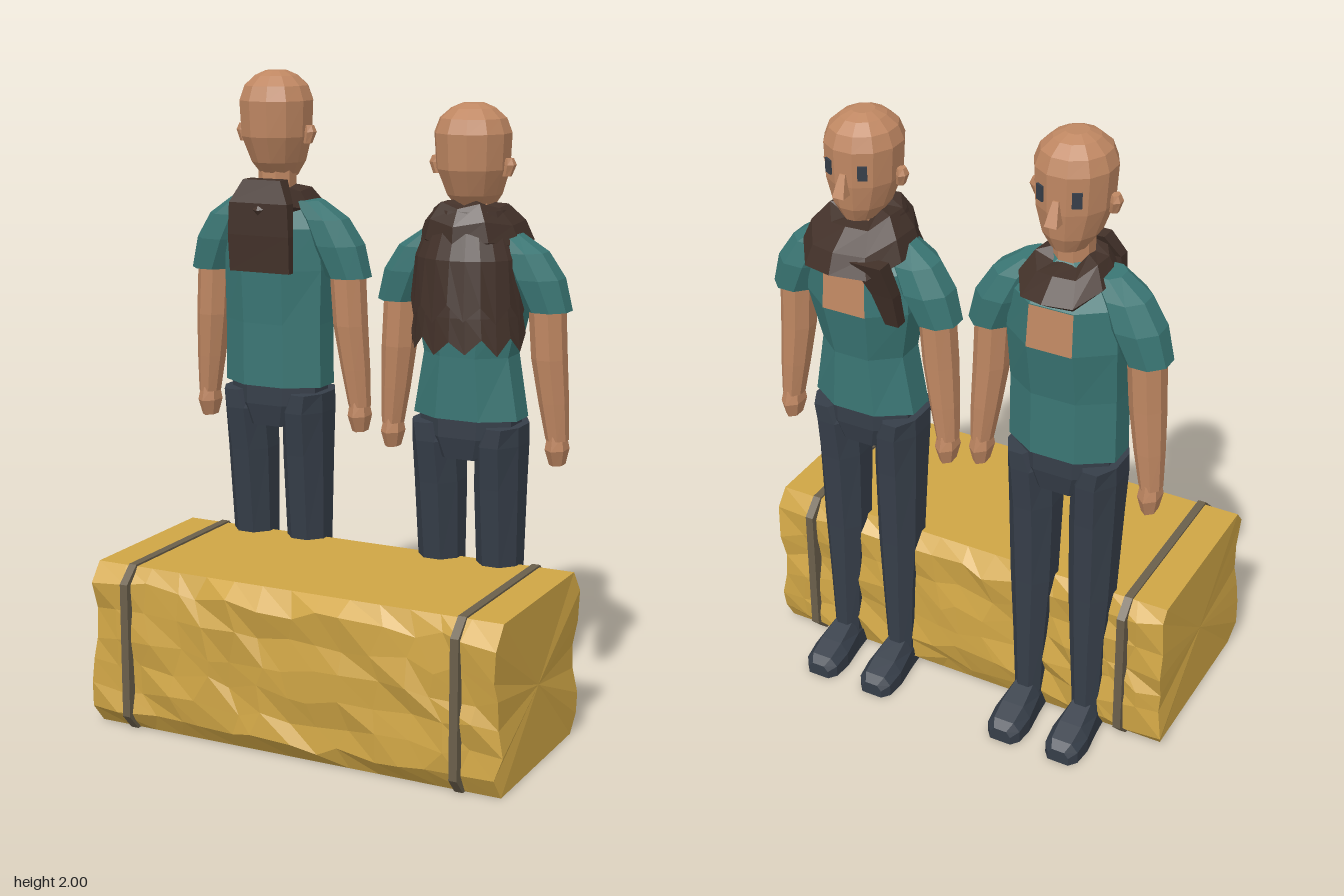
import * as THREE from 'three';

const mat = (name, color, side = THREE.FrontSide) => {
  const m = new THREE.MeshStandardMaterial({ color, side });
  m.name = name;
  return m;
};
const M = {
  skin: mat('skin', 0xbf8762),
  shirt: mat('tealShirt', 0x3a7674),
  dark: mat('darkCloth', 0x363e49),
  scarf: mat('brownScarf', 0x423129, THREE.DoubleSide),
  hay: mat('straw', 0xcfa545),
  strap: mat('baleStrap', 0x6a5f4b),
};

// Seeded jitter in -1..1
let seed = 7;
const jitter = () => {
  seed = (seed * 16807) % 2147483647;
  return (seed / 2147483647) * 2 - 1;
};

function part(name, geometry, material, parent) {
  const mesh = new THREE.Mesh(geometry, material);
  mesh.name = name;
  parent.add(mesh);
  return mesh;
}

// Faceted skin over rings of [x, y, z] points; open sheets are neither closed nor capped
function skin(rings, closed = true, caps = closed) {
  const n = rings[0].length, pos = rings.flat(2), idx = [];
  for (let r = 0; r < rings.length - 1; r++) {
    for (let i = 0; i < (closed ? n : n - 1); i++) {
      const a = r * n + i, b = r * n + (i + 1) % n;
      idx.push(a, a + n, b, b, a + n, b + n);
    }
  }
  if (caps) {
    for (const r of [0, rings.length - 1]) {
      const c = pos.length / 3;
      for (let k = 0; k < 3; k++) pos.push(rings[r].reduce((s, p) => s + p[k], 0) / n);
      for (let i = 0; i < n; i++) {
        const a = r * n + i, b = r * n + (i + 1) % n;
        if (r === 0) idx.push(c, a, b);
        else idx.push(c, b, a);
      }
    }
  }
  const indexed = new THREE.BufferGeometry();
  indexed.setAttribute('position', new THREE.Float32BufferAttribute(pos, 3));
  indexed.setIndex(idx);
  const g = indexed.toNonIndexed();
  g.computeVertexNormals();
  return g;
}

// Horizontal polygon ring whose flats reach rx and rz
function ring([x, y, z, rx, rz = rx], n) {
  const k = 1 / Math.cos(Math.PI / n);
  return Array.from({ length: n }, (_, i) => {
    const a = ((i + 0.5) / n) * Math.PI * 2;
    return [x + Math.cos(a) * rx * k, y, z + Math.sin(a) * rz * k];
  });
}
const loft = (sections, n = 8) => skin(sections.map(s => ring(s, n)));

function makeShoe(cx) {
  const rows = [[-0.16, 0.04, 0.09], [-0.25, 0.048, 0.118], [-0.34, 0.06, 0.088], [-0.4, 0.055, 0.066], [-0.425, 0.035, 0.045]];
  return skin(rows.map(([z, w, h]) => [
    [cx + w, 0, z], [cx + w, h * 0.6, z], [cx + w * 0.6, h, z],
    [cx - w * 0.6, h, z], [cx - w, h * 0.6, z], [cx - w, 0, z],
  ]));
}

// Standing figure facing -z
function makePerson(name, x, height, waist) {
  const g = new THREE.Group();
  g.name = name;
  g.position.x = x;
  g.scale.y = height;

  const torso = [
    [0, 1.02, -0.19, 0.17, 0.11], [0, 1.22, -0.19, waist, 0.11], [0, 1.39, -0.2, 0.172, 0.128],
    [0, 1.52, -0.195, 0.165, 0.122], [0, 1.6, -0.18, 0.11, 0.08], [0, 1.63, -0.175, 0.06, 0.06],
  ];
  part('shirtBody', loft(torso), M.shirt, g);
  // Open neckline lying on the chest facet
  const chest = [torso[2], torso[3]].map(([, y, z, rx, rz]) => {
    const w = rx * Math.tan(Math.PI / 8), f = z - rz - 0.004;
    return [[-w, y, f], [w, y, f]];
  });
  part('neckline', skin(chest, false), M.skin, g);

  part('neck', loft([[0, 1.58, -0.18, 0.055], [0, 1.74, -0.185, 0.055]]), M.skin, g);
  part('head', loft([
    [0, 1.675, -0.205, 0.05, 0.065], [0, 1.72, -0.195, 0.08, 0.095], [0, 1.8, -0.183, 0.106, 0.117],
    [0, 1.91, -0.18, 0.112, 0.12], [0, 1.955, -0.18, 0.096, 0.104], [0, 1.985, -0.18, 0.064, 0.07],
    [0, 2.0, -0.18, 0.032, 0.035],
  ], 12), M.skin, g);
  part('nose', loft([[0, 1.775, -0.308, 0.019, 0.026], [0, 1.84, -0.292, 0.009, 0.012]], 4), M.skin, g);
  part('hips', loft([[0, 0.89, -0.19, 0.11, 0.09], [0, 0.96, -0.19, 0.15, 0.105], [0, 1.03, -0.19, 0.15, 0.105]]), M.dark, g);

  for (const s of [-1, 1]) {
    const at = rows => rows.map(([cx, ...rest]) => [s * cx, ...rest]);
    const eye = part('eye', new THREE.BoxGeometry(0.028, 0.045, 0.008), M.dark, g);
    eye.position.set(s * 0.055, 1.848, -0.287);
    eye.rotation.y = -s * Math.PI / 6;
    part('ear', loft(at([[0.112, 1.78, -0.175, 0.012, 0.012], [0.12, 1.815, -0.178, 0.016, 0.02], [0.118, 1.835, -0.178, 0.01, 0.015]]), 6), M.skin, g);
    part('sleeve', loft(at([
      [0.242, 1.37, -0.2, 0.066, 0.068], [0.205, 1.47, -0.198, 0.078, 0.08],
      [0.165, 1.55, -0.192, 0.068, 0.07], [0.11, 1.605, -0.185, 0.045, 0.05],
    ])), M.shirt, g);
    part('arm', loft(at([
      [0.274, 0.96, -0.212, 0.032, 0.036], [0.262, 1.08, -0.207, 0.042, 0.045],
      [0.248, 1.22, -0.2, 0.05, 0.053], [0.236, 1.42, -0.2, 0.052, 0.056],
    ])), M.skin, g);
    part('hand', loft(at([[0.275, 0.88, -0.215, 0.02, 0.03], [0.274, 0.93, -0.213, 0.03, 0.046], [0.273, 0.975, -0.212, 0.024, 0.034]]), 6), M.skin, g);
    part('trouserLeg', loft(at([
      [0.1, 0.05, -0.22, 0.042, 0.052], [0.098, 0.32, -0.215, 0.054, 0.062], [0.098, 0.52, -0.205, 0.066, 0.074],
      [0.1, 0.8, -0.195, 0.072, 0.092], [0.105, 0.94, -0.19, 0.071, 0.107], [0.12, 1.0, -0.19, 0.055, 0.107],
    ])), M.dark, g);
    part('shoe', makeShoe(s * 0.1), M.dark, g);
  }
  return g;
}

// Neck wrap whose front sags toward -z
function collar(rows, sag) {
  return skin(rows.map(s => ring(s, 10).map(([x, y, z], i) => [
    x, y - sag * Math.max(0, -(z - s[2]) / s[4]) + (i % 2 ? 0.008 : -0.008), z,
  ])), true, false);
}

// Short scarf with a tail down the back
function makeScarf(x) {
  const g = new THREE.Group();
  g.name = 'shortScarf';
  g.position.x = x;
  part('scarfWrap', collar([
    [0, 1.555, -0.2, 0.1, 0.13], [0, 1.585, -0.215, 0.128, 0.16],
    [0, 1.64, -0.195, 0.095, 0.115], [0, 1.65, -0.185, 0.055, 0.06],
  ], 0.025), M.scarf, g);
  part('scarfTail', loft([
    [0, 1.385, -0.075, 0.105, 0.014], [0, 1.5, -0.07, 0.107, 0.016],
    [0, 1.6, -0.075, 0.102, 0.02], [0, 1.67, -0.105, 0.065, 0.025],
  ], 4), M.scarf, g);
  return g;
}

// Wide shawl with two ragged layers behind
function makeShawl(x) {
  const g = new THREE.Group();
  g.name = 'wideShawl';
  g.position.x = x;
  part('shawlWrap', collar([
    [0, 1.48, -0.2, 0.12, 0.13], [0, 1.515, -0.215, 0.165, 0.175], [0, 1.575, -0.205, 0.142, 0.16],
    [0, 1.625, -0.185, 0.1, 0.11], [0, 1.63, -0.18, 0.055, 0.06],
  ], 0.03), M.scarf, g);
  const layers = [
    [[1.61, 0.11, 0.1], [1.47, 0.165, 0.15], [1.31, 0.178, 0.165]],
    [[1.42, 0.15, 0.13], [1.3, 0.168, 0.145], [1.21, 0.178, 0.15]],
  ];
  for (const rows of layers) {
    part('raggedLayer', skin(rows.map(([y, rx, rz], r) => Array.from({ length: 13 }, (_, i) => {
      const a = (-8 + (196 * i) / 12) * Math.PI / 180;
      const jag = r === 2 ? (i % 2 ? -0.025 : 0.025) + jitter() * 0.01 : 0;
      return [Math.cos(a) * rx, y + jag, -0.165 + Math.sin(a) * rz];
    })), false), M.scarf, g);
  }
  part('shawlTail', loft([[-0.14, 1.31, -0.275, 0.022, 0.02], [-0.13, 1.42, -0.305, 0.035, 0.022], [-0.1, 1.53, -0.34, 0.05, 0.025]], 4), M.scarf, g);
  return g;
}

// Straw bale: chamfered profile along x with rough front, back and ends
function makeBale() {
  const g = new THREE.Group();
  g.name = 'strawBale';
  const ys = [0.05, 0.13, 0.21, 0.29, 0.37, 0.465];
  const profile = [
    [0, 0.355, 0], ...ys.map(y => [y, 0.395, 1]), [0.52, 0.355, 0],
    [0.52, -0.195, 0], ...ys.map(y => [y, -0.23, 1]).reverse(), [0, -0.195, 0],
  ];
  const cols = 14, rings = [];
  for (let c = 0; c <= cols; c++) {
    const end = c === 0 || c === cols;
    rings.push(profile.map(([y, z, rough]) => [
      -0.675 + (1.35 * c) / cols + rough * jitter() * (end ? 0.015 : 0.03),
      y + rough * jitter() * 0.018,
      z + rough * jitter() * 0.016,
    ]));
  }
  part('straw', skin(rings), M.hay, g);

  // Straps following the chamfered outline
  const outline = [[0, 0.37], [0.05, 0.415], [0.475, 0.415], [0.526, 0.36], [0.526, -0.2], [0.475, -0.252], [0.05, -0.252], [0, -0.205]];
  for (const s of [-1, 1]) {
    part('strap', skin([-0.013, 0.013].map(dx => outline.map(([y, z]) => [s * 0.55 + dx, y, z]))), M.strap, g);
  }
  return g;
}

export function createModel() {
  seed = 7;
  const model = new THREE.Group();
  model.name = 'twoFiguresByStrawBale';
  model.add(
    makeBale(),
    makePerson('tallFigure', -0.335, 1, 0.168), makeScarf(-0.335),
    makePerson('shortFigure', 0.33, 0.96, 0.138), makeShawl(0.33),
  );
  return model;
}
